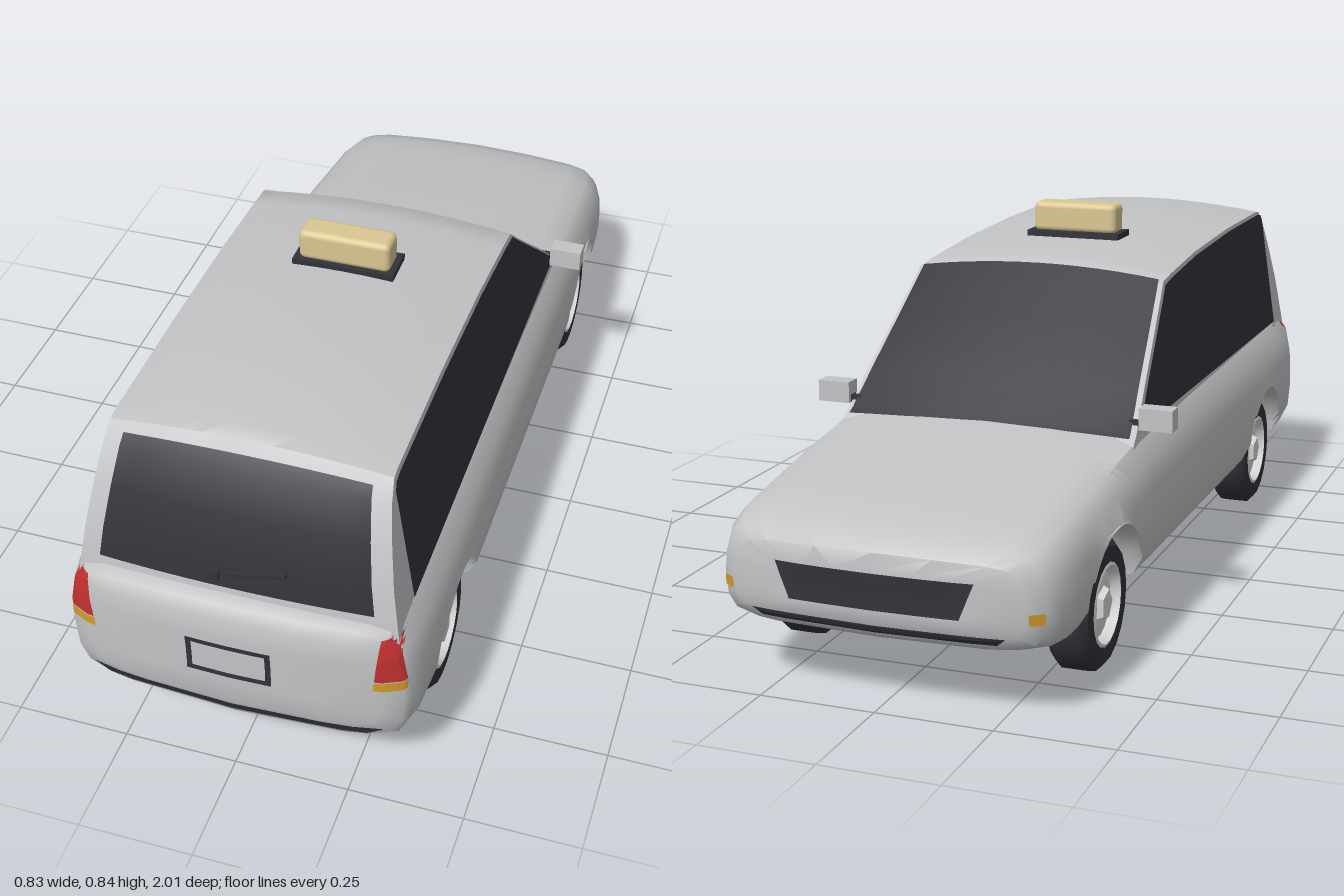
import * as THREE from 'three';
import { toCreasedNormals } from 'three/addons/utils/BufferGeometryUtils.js';
import { RoundedBoxGeometry } from 'three/addons/geometries/RoundedBoxGeometry.js';

const { clamp, lerp } = THREE.MathUtils;

function material(name, color) {
  const m = new THREE.MeshStandardMaterial({ color });
  m.name = name;
  return m;
}

// Skin a list of rows of [x, y, z] points; columns in skip stay open
function loft(rows, skip = []) {
  const n = rows[0].length, index = [];
  for (let i = 0; i < rows.length - 1; i++) {
    for (let j = 0; j < n - 1; j++) {
      if (skip.includes(j)) continue;
      const a = i * n + j, b = a + 1, c = b + n, d = a + n;
      index.push(a, b, c, a, c, d);
    }
  }
  const g = new THREE.BufferGeometry();
  g.setAttribute('position', new THREE.Float32BufferAttribute(rows.flat(2), 3));
  g.setIndex(index);
  return toCreasedNormals(g, 0.65);
}

// Linear lookup in a table sorted by its first column
function lookup(table, z) {
  let i = 0;
  while (i < table.length - 2 && table[i + 1][0] < z) i++;
  const a = table[i], b = table[i + 1], k = (z - a[0]) / (b[0] - a[0]);
  return a.map((v, j) => lerp(v, b[j], k));
}

// Lower body stations: z, half width, bottom, top
const STATIONS = [
  [-0.97, 0.2, 0.21, 0.29], [-0.965, 0.31, 0.175, 0.325], [-0.945, 0.345, 0.15, 0.345],
  [-0.91, 0.362, 0.137, 0.36], [-0.85, 0.372, 0.13, 0.375], [-0.6, 0.382, 0.13, 0.41],
  [-0.38, 0.385, 0.13, 0.437], [0, 0.385, 0.13, 0.447], [0.8, 0.385, 0.13, 0.455],
  [0.9, 0.38, 0.13, 0.455], [0.94, 0.37, 0.135, 0.455], [0.955, 0.36, 0.15, 0.445],
  [0.968, 0.32, 0.19, 0.42], [0.972, 0.2, 0.25, 0.37],
];
// Half cross-section, from the floor centre to the top centre
const SECTION = [
  [0, 0], [0.65, 0.005], [0.65, 0.005], [0.78, 0.02], [0.93, 0.08], [0.985, 0.21], [1, 0.42],
  [0.99, 0.65], [0.955, 0.84], [0.88, 0.96], [0.75, 1], [0.4, 1.02], [0, 1.03],
];
const AXLE = 0.625, ARCH = 0.165;

function bodyGeometry() {
  const zs = STATIONS.map((s) => s[0]);
  for (const c of [-AXLE, AXLE]) {
    zs.push(c - ARCH - 0.001, c + ARCH + 0.001);
    for (let k = 0; k <= 16; k++) zs.push(c + (ARCH - 1e-5) * Math.cos((k / 16) * Math.PI));
  }
  zs.sort((a, b) => a - b);
  const rows = zs.map((z) => {
    const [, w, yb, yt] = lookup(STATIONS, z);
    const dz = Math.abs(Math.abs(z) - AXLE);
    const arch = dz < ARCH ? 0.145 + Math.sqrt(ARCH * ARCH - dz * dz) : 0;
    const bow = Math.sign(z) * 0.03 * clamp((Math.abs(z) - 0.85) / 0.1, 0, 1);
    const half = SECTION.map(([fx, fy], j) => {
      const x = fx * w, y = yb + fy * (yt - yb);
      return [x, j > 1 ? Math.max(y, arch) : y, z + bow * (1 - (x / 0.385) ** 2)];
    });
    return [...half, ...half.slice(0, -1).reverse().map(([x, y, q]) => [-x, y, q])];
  });
  const n = rows[0].length;
  rows.unshift(Array(n).fill([0, 0.25, -1]));
  rows.push(Array(n).fill([0, 0.31, 1]));
  return loft(rows, [1, n - 3]);
}

// Cabin outline over the top, nose to tail: z, centre height, crown
const CABIN = [
  [-0.42, 0.425, 0.005], [-0.39, 0.45, 0.01], [-0.3, 0.535, 0.016], [-0.2, 0.622, 0.02],
  [-0.11, 0.7, 0.022], [-0.07, 0.735, 0.022], [0, 0.745, 0.024], [0.2, 0.762, 0.025],
  [0.5, 0.772, 0.025], [0.8, 0.772, 0.025], [0.835, 0.765, 0.022], [0.875, 0.72, 0.014],
  [0.915, 0.64, 0.01], [0.945, 0.55, 0.008], [0.96, 0.46, 0.006], [0.965, 0.42, 0.005],
];
const sideX = (y) => 0.338 - (y - 0.45) * 0.148;

// Point on the cabin top: u is the outline position, t runs across from -1 to 1
function cabinPoint(u, t) {
  const [, z, y, crown] = lookup(CABIN.map((p, i) => [i, ...p]), u);
  const bow = 0.02 * clamp((z - 0.8) / 0.1, 0, 1);
  return [t * sideX(y - crown), y - crown * t * t, z - bow * t * t];
}
const across = (u, t, out = [0, 0, 0]) => Array.from({ length: 13 }, (_, k) =>
  cabinPoint(u, t * (1 - k / 6)).map((v, i) => v + out[i]));

function cabinGeometry() {
  return loft(CABIN.map((_, u) => {
    const z = cabinPoint(u, 1)[2], x = sideX(0.41);
    return [[x, 0.41, z], ...across(u, 1), [-x, 0.41, z]];
  }));
}

function sideGlass(s) {
  const us = [1.25, 2, 3, 4, 5, 6, 7, 8, 9, 10, 10.4];
  return loft(us.map((u) => {
    const [, y, z] = cabinPoint(u, 1), top = Math.max(y - 0.007, 0.446);
    const edge = [[s * (sideX(0.445) + 0.004), 0.445, z], [s * (sideX(top) + 0.004), top, z]];
    return s > 0 ? edge : edge.reverse();
  }));
}

// Thin panel laid on the body end facing dir; corners are bottom left/right x, y, then top
function panel(body, dir, [bx0, bx1, by], [tx0, tx1, ty]) {
  const ray = new THREE.Raycaster(), N = 10, rows = [];
  for (let i = 0; i <= N; i++) {
    const row = [];
    for (let j = 0; j <= N; j++) {
      const x = lerp(lerp(bx0, bx1, j / N), lerp(tx0, tx1, j / N), i / N);
      const y = lerp(by, ty, i / N);
      ray.set(new THREE.Vector3(x, y, dir * 3), new THREE.Vector3(0, 0, -dir));
      const hit = ray.intersectObject(body)[0];
      row.push([x, y, (hit ? hit.point.z : dir * 0.93) + dir * 0.004]);
    }
    rows.push(row);
  }
  return loft(dir > 0 ? rows : rows.reverse());
}

const lathe = (pts, sides) => toCreasedNormals(
  new THREE.LatheGeometry(pts.map((p) => new THREE.Vector2(...p)), sides), 0.5);

export function createModel() {
  const car = new THREE.Group();
  car.name = 'car';
  const paint = material('silver paint', 0xc3c4c6);
  const dark = material('dark glass and rubber', 0x32323a);
  const hubGrey = material('light hub grey', 0xd9d9da);
  const red = material('red lamp', 0xc23030);
  const amber = material('amber lamp', 0xd39c28);
  const cream = material('cream sign', 0xdac792);

  const add = (name, geometry, mat, x = 0, y = 0, z = 0, parent = car) => {
    const m = new THREE.Mesh(geometry, mat);
    m.name = name;
    m.position.set(x, y, z);
    parent.add(m);
    return m;
  };
  const box = (w, h, d) => new THREE.BoxGeometry(w, h, d);

  const body = add('lowerBody', bodyGeometry(), paint);
  add('cabin', cabinGeometry(), paint);

  // Windows
  const frontRows = [0.5, 1, 2, 3, 4, 5].map((u) => across(u, 0.965, [0, 0.003, -0.003]));
  add('windshield', loft(frontRows), dark);
  const rearRows = [10.45, 11, 12, 13, 13.78].map((u) => across(u, 0.87, [0, 0.002, 0.004]));
  add('rearWindow', loft(rearRows), dark);
  for (const s of [1, -1]) add(s > 0 ? 'leftWindows' : 'rightWindows', sideGlass(s), dark);

  // Rear wiper
  add('wiperPivot', box(0.024, 0.022, 0.014), dark, -0.038, 0.511, 0.96);
  add('wiperArm', box(0.15, 0.007, 0.01), dark, 0.042, 0.53, 0.958).rotation.z = 0.235;

  // Bumper strips, grille and plate frame
  const strip = (name, dir, low, high, mat = dark) => add(name, panel(body, dir, low, high), mat);
  strip('rearBumperStrip', 1, [-0.285, 0.285, 0.165], [-0.32, 0.32, 0.187]);
  strip('frontBumperStrip', -1, [-0.25, 0.25, 0.166], [-0.27, 0.27, 0.183]);
  strip('grille', -1, [-0.18, 0.18, 0.215], [-0.21, 0.21, 0.29]);
  for (const y of [0.27, 0.35]) strip('plateFrame', 1, [-0.092, 0.09, y], [-0.092, 0.09, y + 0.012]);
  for (const x of [-0.092, 0.078]) strip('plateFrame', 1, [x, x + 0.012, 0.27], [x, x + 0.012, 0.362]);

  // Lamps and mirrors on both sides
  for (const s of [1, -1]) {
    const span = (a, b, y) => (s > 0 ? [a, b, y] : [-b, -a, y]);
    strip('tailLamp', 1, span(0.302, 0.364, 0.333), span(0.312, 0.345, 0.437), red);
    strip('rearIndicator', 1, span(0.3, 0.364, 0.307), span(0.301, 0.364, 0.33), amber);
    strip('frontIndicator', -1, span(0.315, 0.342, 0.212), span(0.315, 0.342, 0.235), amber);
    add('mirror', box(0.075, 0.048, 0.042), paint, s * 0.379, 0.472, -0.362);
    add('mirrorMount', box(0.03, 0.016, 0.022), dark, s * 0.332, 0.458, -0.362);
  }

  // Roof sign
  add('signBase', box(0.23, 0.014, 0.09), dark, 0, 0.767, 0.203);
  add('roofSign', new RoundedBoxGeometry(0.208, 0.072, 0.068, 3, 0.014), cream, 0, 0.806, 0.205);

  // Wheels
  const tyre = lathe([[0.085, -0.045], [0.124, -0.045], [0.14, -0.03], [0.14, 0.03],
    [0.124, 0.045], [0.088, 0.045], [0.085, 0.03]], 18);
  const hub = lathe([[0, -0.035], [0.088, -0.035], [0.093, 0.044], [0.083, 0.047],
    [0.074, 0.026], [0.05, 0.032], [0, 0.032]], 18);
  const cap = toCreasedNormals(new THREE.CylinderGeometry(0.032, 0.04, 0.016, 5), 0.5);
  for (const s of [1, -1]) {
    for (const z of [AXLE, -AXLE]) {
      const wheel = new THREE.Group();
      wheel.name = (z > 0 ? 'rear' : 'front') + (s > 0 ? 'Left' : 'Right') + 'Wheel';
      wheel.position.set(s * 0.31, 0.14, z);
      wheel.rotation.z = -s * Math.PI / 2;
      add('tyre', tyre, dark, 0, 0, 0, wheel);
      add('hub', hub, hubGrey, 0, 0, 0, wheel);
      add('hubCap', cap, hubGrey, 0, 0.037, 0, wheel);
      car.add(wheel);
    }
  }
  return car;
}
